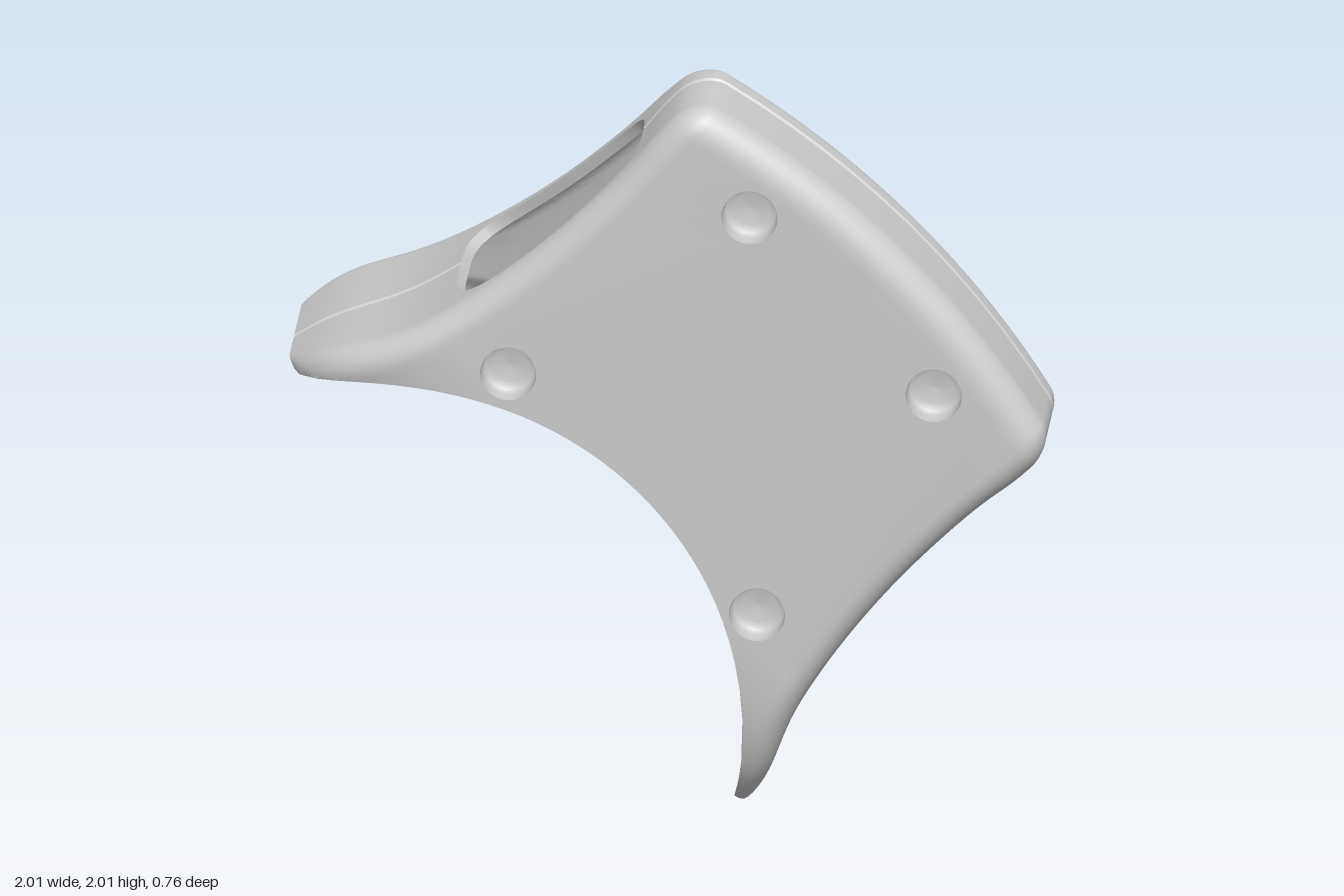
import * as THREE from 'three';
import { mergeGeometries, toCreasedNormals } from 'three/addons/utils/BufferGeometryUtils.js';

const { lerp, smoothstep, clamp } = THREE.MathUtils;
const FRONT = 0.38, WALL = 0.03, EDGE = 0.07, ARC_S = -1.018, ARC_R = 0.93, TIP = -0.565;
const END = 0.785, FAR = 0.88; // the far end rounds over from END to FAR
const RA = 20, RB = 40, RBODY = 46, RROUND = 55, RCAP = 61; // row numbers along the body
const PANEL = 14; // number of steps across half the front panel
const material = new THREE.MeshStandardMaterial({ color: 0xcccccc, side: THREE.DoubleSide });

// s runs along the diagonal symmetry axis, t across it
const toWorld = (s, t, z) => [(s + t) * Math.SQRT1_2, 1 + (s - t) * Math.SQRT1_2, z];
const arcT = s => Math.sqrt(ARC_R ** 2 - (s - ARC_S) ** 2);

// Arms curve away from the front and back towards their tips
const ARM_S = -0.175;
const ellipse = u => Math.sqrt(Math.max(0, 1 - Math.max(0, u) ** 2));
const frontZ = s => 0.16 + (FRONT - 0.16) * ellipse((ARM_S - s) / 0.405);
const floorZ = s => -0.24 - 0.14 * ellipse((-0.36 - s) / 0.22);

// Lengthwise lines of the half shell: front centre, front edge, side, back edge, back centre
const lines = [];
for (let k = 0; k <= PANEL; k++) lines.push(c => [(c.w - c.rf) * k / PANEL, c.f]);
for (let k = 1; k <= 8; k++) {
  const a = k * Math.PI / 16;
  lines.push(c => [c.w - c.rf * (1 - Math.sin(a)), c.f - c.rf * (1 - Math.cos(a))]);
}
const TOP = lines.length;
for (let k = 0; k <= 4; k++) lines.push(c => [c.w, lerp(c.top, c.seam + 0.01, k / 4)]);
const SEAM = lines.length;
lines.push(c => [c.w, c.seam]);
for (let k = 0; k <= 4; k++) lines.push(c => [c.w, lerp(c.seam - 0.01, c.bot, k / 4)]);
const BOT = lines.length - 1;
for (let k = 0; k <= 8; k++) {
  const a = k * Math.PI / 16;
  lines.push(c => [c.w - c.rb * (1 - Math.cos(a)), c.b + c.rb * (1 - Math.sin(a))]);
}
const BACK = lines.length - 1;
for (let k = 1; k <= 10; k++) lines.push(c => [lerp(c.w - c.rb, 0.19, k / 10), c.b]);
const SLOT = lines.length - 1;
for (let k = 1; k <= 5; k++) lines.push(c => [0.19 * (1 - k / 5), c.b]);
const LAST = lines.length - 1;

// Cross-section sizes at s, drawn in by e
function section(s, e) {
  const flare = Math.max(0, 0.35 - s), d = -0.285 + 0.32 * s - floorZ(s);
  const soft = 1 - smoothstep(s, -0.5, -0.1);
  const c = {
    w: 0.65 + 0.22 * flare * flare + 0.03 * Math.exp(-(((s + 0.45) / 0.15) ** 2)) + 0.02 * smoothstep(s, 0.4, 0.8) - e,
    f: frontZ(s) - e,
    b: floorZ(s) + (d + Math.sqrt(d * d + 0.0008)) / 2 + e,
    rf: Math.max(EDGE + 0.02 * soft - e, 0.001),
    rb: Math.max(EDGE - e, 0.001),
    seam: 0.12 * smoothstep(s, -0.05, 0.5),
  };
  c.top = c.f - c.rf - 0.005;
  c.bot = c.b + c.rb + 0.015;
  return c;
}

// Where a line meets the round cut-out or the blunt tip
function arcStart(line, e) {
  let lo = -0.7, hi = 0.3;
  for (let k = 0; k < 40; k++) {
    const m = (lo + hi) / 2, t = line(section(m, e))[0];
    if (Math.hypot(m - ARC_S, t) < ARC_R) lo = m; else hi = m;
  }
  return Math.max(hi, TIP);
}

const roundOff = (u, v, n) => 1 / Math.pow(Math.abs(u) ** n + Math.abs(v) ** n, 1 / n);
const isRim = (i, j, j0, j1) => i >= RA && i <= RB && j >= j0 && j <= j1 &&
  (i === RA || i === RB || j === j0 || (j === j1 && j1 !== LAST));

// Grid of [s, t, z] for one half of a skin
function skin(e0, groove) {
  const grid = [];
  const starts = lines.map(l => arcStart(l, e0));
  for (let i = 0; i <= RCAP; i++) {
    grid.push(lines.map((line, j) => {
      const blend = clamp((j - BACK) / (SLOT - BACK), 0, 1);
      const sA = lerp(-0.1, 0.09, blend), sB = lerp(0.57, 0.31, blend);
      const g = j === SEAM ? groove : 0;
      let s, e = e0, t, z, turn = 0;
      if (i <= RA) s = lerp(starts[j], sA, (i / RA) ** 1.6);
      else if (i <= RB) s = lerp(sA, sB, (i - RA) / (RB - RA));
      else if (i <= RBODY) s = lerp(sB, END, (i - RB) / (RBODY - RB));
      else {
        turn = Math.min(1, (i - RBODY) / (RROUND - RBODY)) * Math.PI / 2;
        s = END + (FAR - e0 - END) * Math.sin(turn);
        e = EDGE - (EDGE - e0) * Math.cos(turn);
      }
      [t, z] = line(section(s, e));
      if (isRim(i, j, TOP, BOT)) { // rounded side window
        let c = section(s, e);
        const u = (s - 0.235) / 0.335, v = (2 * z - c.top - c.bot) / (c.top - c.bot);
        const k = roundOff(u, v, 4.5);
        s = 0.235 + 0.335 * u * k;
        c = section(s, e);
        t = c.w;
        z = (c.top + c.bot + v * k * (c.top - c.bot)) / 2;
      } else if (isRim(i, j, SLOT, LAST)) { // rounded back slot
        const u = (s - 0.2) / 0.11, v = t / 0.19, k = roundOff(u, v, 6);
        s = 0.2 + 0.11 * u * k;
        t *= k;
        z = section(s, e).b;
      }
      if (j >= BACK) { // lip along the back edge of the cut-out
        const d = Math.hypot(s - ARC_S, t) - ARC_R;
        z = lerp(floorZ(s) + e, z, smoothstep(d, 0, 0.07));
      }
      t -= g * Math.cos(turn);
      if (i > RROUND) t *= 1 - (i - RROUND) / (RCAP - RROUND);
      return [s - 0.2 * t * t * smoothstep(s, 0.5, END) - g * Math.sin(turn), t, z];
    }));
  }
  return grid;
}

// Both mirrored halves of a quad grid
function patch(grid, skip, flip) {
  const pos = [];
  for (const side of [1, -1]) {
    const p = grid.map(row => row.map(([s, t, z]) => toWorld(s, side * t, z)));
    for (let i = 0; i < p.length - 1; i++) for (let j = 0; j < p[i].length - 1; j++) {
      if (skip(i, j)) continue;
      const a = p[i][j], b = p[i][j + 1], c = p[i + 1][j + 1], d = p[i + 1][j];
      if ((side > 0) !== flip) pos.push(...a, ...b, ...c, ...a, ...c, ...d);
      else pos.push(...a, ...c, ...b, ...a, ...d, ...c);
    }
  }
  const geo = new THREE.BufferGeometry();
  geo.setAttribute('position', new THREE.Float32BufferAttribute(pos, 3));
  geo.computeVertexNormals();
  return geo;
}

const dimples = [[0.23, 1.72], [0.715, 1.235], [-0.405, 1.26], [0.25, 0.605]];

// Front panel: a flat plate with four round holes, and two curved arms
function panel(grid, e) {
  const edge = grid.slice(0, RBODY + 1).map(row => row[PANEL]);
  const split = edge.findIndex(p => p[0] > ARM_S) - 1;
  const arms = edge.slice(0, split + 1).map(([s, t]) => Array.from({ length: 7 },
    (_, k) => [s, lerp(arcT(s), t, k / 6), frontZ(s) - e]));
  const half = [];
  const spread = Math.asin(arcT(edge[split][0]) / ARC_R);
  for (let k = 0; k <= 10; k++) half.push([ARC_S + ARC_R * Math.cos(spread * k / 10), ARC_R * Math.sin(spread * k / 10)]);
  half.push(...edge.slice(split));
  for (let j = PANEL - 1; j >= 0; j--) half.push(grid[RBODY][j]);
  const mirrored = half.slice(1, -1).reverse().map(([s, t]) => [s, -t]);
  const shape = new THREE.Shape([...half, ...mirrored].map(([s, t]) => new THREE.Vector2(...toWorld(s, t, 0).slice(0, 2))));
  for (const [x, y] of dimples) shape.holes.push(new THREE.Path().absarc(x, y, 0.074, 0, Math.PI * 2, true));
  const plate = new THREE.ShapeGeometry(shape, 16).translate(0, 0, FRONT - e).toNonIndexed();
  plate.deleteAttribute('uv');
  return [plate, patch(arms, () => false, false)];
}

const skipCell = (i, j) => (i < RBODY && j < PANEL) ||
  (i >= RA && i < RB && ((j >= TOP && j < BOT) || j >= SLOT));

export function createModel() {
  const group = new THREE.Group();
  const add = (name, geo) => {
    const mesh = new THREE.Mesh(geo, material);
    mesh.name = name;
    group.add(mesh);
    return mesh;
  };
  const outer = skin(0, 0.014), inner = skin(WALL, 0);

  // Outer and inner skins of the shell
  add('outerShell', toCreasedNormals(mergeGeometries([patch(outer, skipCell, false), ...panel(outer, 0)]), 0.6));
  add('innerShell', toCreasedNormals(mergeGeometries([patch(inner, skipCell, true), ...panel(inner, WALL)]), 0.6));

  // Rims joining the skins at each opening
  const rim = (name, path) => add(name, toCreasedNormals(
    patch([outer, inner].map(g => path.map(([i, j]) => g[i][j])), () => false, true), 0.6));
  const along = (i, j0, j1) => Array.from({ length: Math.abs(j1 - j0) + 1 }, (_, k) => [i, j0 + k * Math.sign(j1 - j0)]);
  const down = (j, i0, i1) => along(j, i0, i1).map(([a, b]) => [b, a]);
  rim('archRim', along(0, 0, LAST));
  rim('sideWindowRims', [...along(RA, TOP, BOT), ...down(BOT, RA, RB), ...along(RB, BOT, TOP), ...down(TOP, RB, RA)]);
  rim('backSlotRim', [...along(RA, LAST, SLOT), ...down(SLOT, RA, RB), ...along(RB, SLOT, LAST)]);

  // Round recesses in the front
  const cup = new THREE.LatheGeometry(
    [[0, -0.068], [0.045, -0.064], [0.066, -0.056], [0.074, -0.045], [0.074, 0]].map(p => new THREE.Vector2(...p)), 32).rotateX(Math.PI / 2);
  for (const [x, y] of dimples) add('frontRecess', cup).position.set(x, y, FRONT);
  return group;
}
